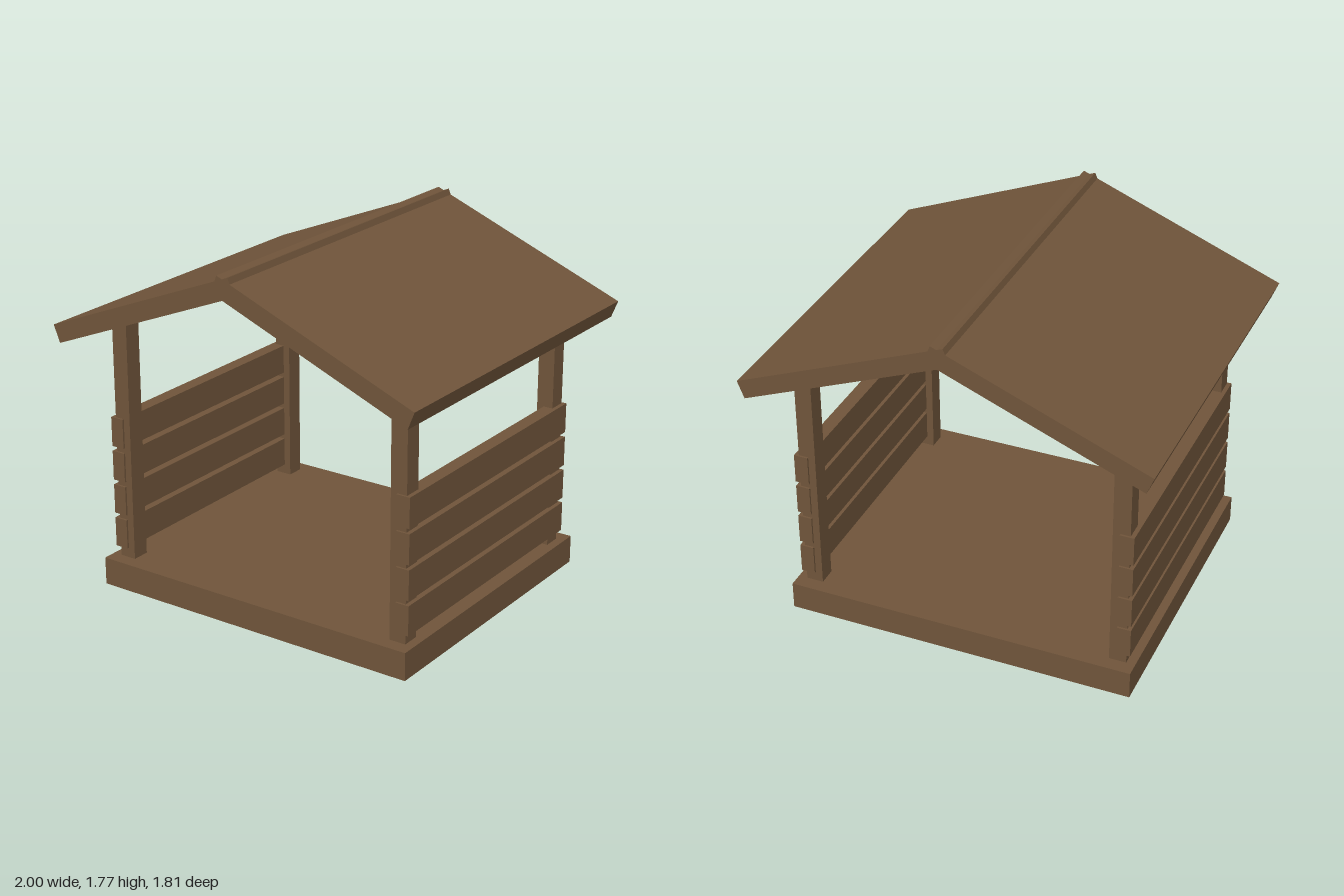
import * as THREE from 'three';

export function createModel() {
  const model = new THREE.Group();
  model.name = 'gardenShelter';
  const wood = new THREE.MeshStandardMaterial({ color: 0x6f543a });
  wood.name = 'brown wood';

  const box = (name, w, h, d, x, y, z) => {
    const mesh = new THREE.Mesh(new THREE.BoxGeometry(w, h, d), wood);
    mesh.name = name;
    mesh.position.set(x, y, z);
    model.add(mesh);
    return mesh;
  };

  // Floor slab
  box('floor', 1.75, 0.14, 1.52, 0, 0.07, 0);

  for (const [side, s] of [['left', 1], ['right', -1]]) {
    // Corner posts, tops buried in the roof
    box(side + 'FrontPost', 0.085, 1.26, 0.09, s * 0.7875, 0.77, 0.645);
    box(side + 'BackPost', 0.085, 1.26, 0.09, s * 0.7875, 0.77, -0.645);

    // Horizontal wall boards
    for (let i = 0; i < 4; i++) {
      box(side + 'Board' + (i + 1), 0.07, 0.15, 1.4, s * 0.816, 0.265 + i * 0.175, 0);
    }

    // Sloping roof panel; the two cross slightly at the ridge
    const roof = box(side + 'RoofPanel', 1.109, 0.091, 1.81, s * 0.468, 1.523, 0);
    roof.rotation.z = -s * 0.3796;
  }
  return model;
}
